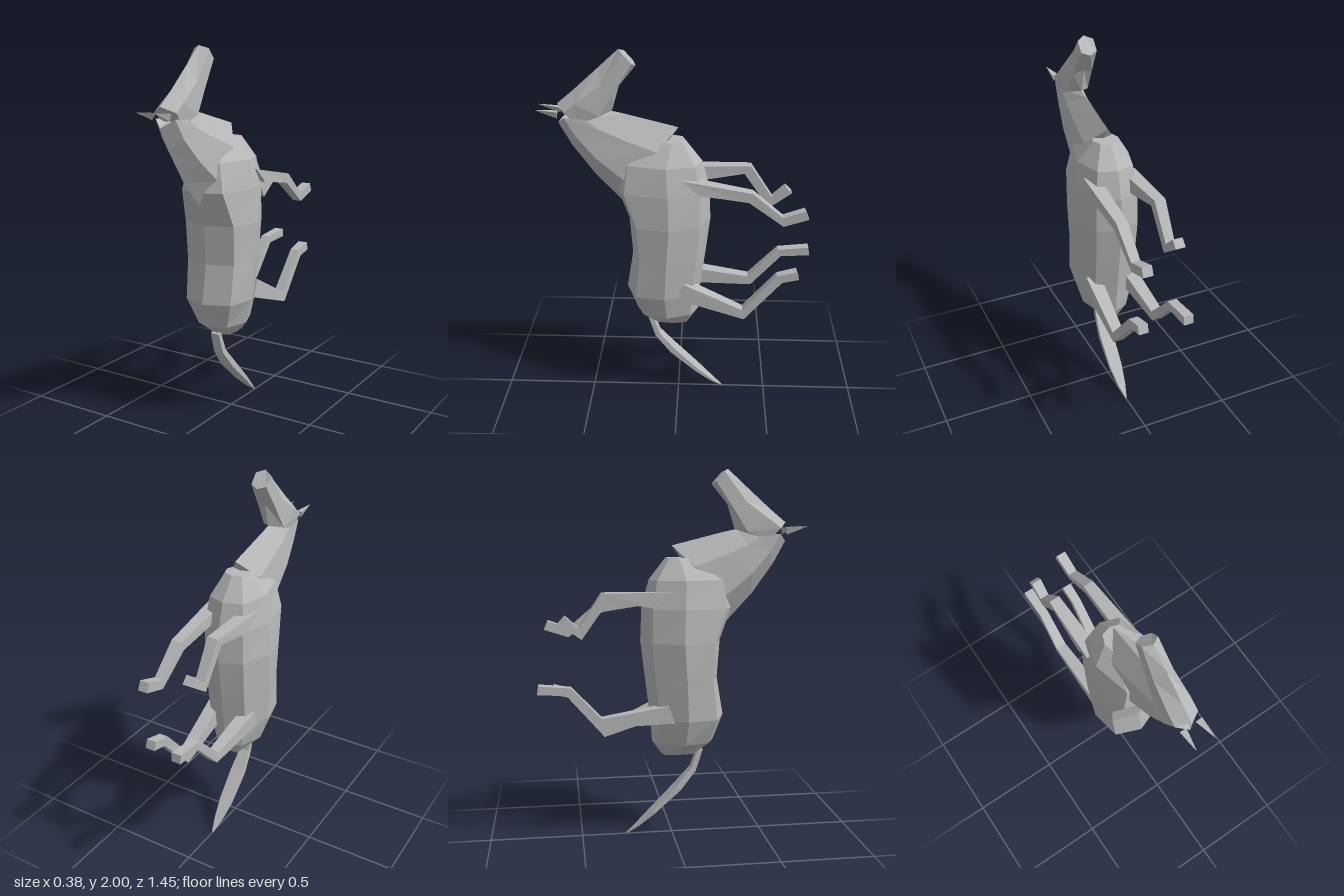
import * as THREE from 'three';

const coat = new THREE.MeshStandardMaterial({ color: 0xb8b8b8 });
coat.name = 'greyCoat';

// Flat-shaded skin over rings of equal point count, capped at both ends
function loft(name, rings) {
  const pos = [];
  const tri = (a, b, c) => pos.push(...a, ...b, ...c);
  const n = rings[0].length;
  for (let r = 0; r < rings.length - 1; r++) {
    for (let i = 0; i < n; i++) {
      const j = (i + 1) % n;
      tri(rings[r][i], rings[r][j], rings[r + 1][j]);
      tri(rings[r][i], rings[r + 1][j], rings[r + 1][i]);
    }
  }
  const last = rings[rings.length - 1];
  for (let i = 1; i < n - 1; i++) {
    tri(rings[0][0], rings[0][i + 1], rings[0][i]);
    tri(last[0], last[i], last[i + 1]);
  }
  // Turn the skin outwards if its signed volume is negative
  let volume = 0;
  const a = new THREE.Vector3(), b = new THREE.Vector3(), c = new THREE.Vector3();
  for (let i = 0; i < pos.length; i += 9) {
    volume += a.fromArray(pos, i).dot(b.fromArray(pos, i + 3).cross(c.fromArray(pos, i + 6)));
  }
  if (volume < 0) {
    for (let i = 0; i < pos.length; i += 9) {
      for (let k = 0; k < 3; k++) {
        [pos[i + 3 + k], pos[i + 6 + k]] = [pos[i + 6 + k], pos[i + 3 + k]];
      }
    }
  }
  const geo = new THREE.BufferGeometry();
  geo.setAttribute('position', new THREE.Float32BufferAttribute(pos, 3));
  geo.computeVertexNormals();
  const mesh = new THREE.Mesh(geo, coat);
  mesh.name = name;
  return mesh;
}

// Closes a half ring (first and last points lie on x = 0) by mirroring
const mirrorRing = (half) => [
  ...half,
  ...half.slice(1, -1).reverse().map(([x, y, z]) => [-x, y, z]),
];

// Box-section limb; each section holds two [z, y] edges and a half width
const limb = (name, x, sections) => loft(name, sections.map(([p, q, w]) => [
  [x - w, p[1], p[0]], [x + w, p[1], p[0]],
  [x + w, q[1], q[0]], [x - w, q[1], q[0]],
]));

export function createModel() {
  const model = new THREE.Group();
  model.name = 'horse';

  // Barrel: y, front z, shoulder x z, flank x z, belly x z, belly centre z
  const barrel = [
    [0.46, 0.13, 0.05, 0.11, 0.06, 0.03, 0.045, -0.045, -0.06],
    [0.53, 0.23, 0.09, 0.19, 0.13, 0.06, 0.08, -0.07, -0.11],
    [0.67, 0.285, 0.14, 0.23, 0.17, 0.07, 0.11, -0.075, -0.12],
    [0.88, 0.25, 0.145, 0.205, 0.183, 0.06, 0.115, -0.1, -0.147],
    [1.09, 0.265, 0.15, 0.215, 0.19, 0.045, 0.12, -0.118, -0.172],
    [1.27, 0.33, 0.125, 0.28, 0.175, 0.05, 0.115, -0.115, -0.165],
    [1.42, 0.29, 0.095, 0.26, 0.145, 0.06, 0.1, -0.09, -0.125],
    [1.535, 0.1, 0.05, 0.09, 0.07, 0.03, 0.05, -0.02, -0.035],
  ];
  model.add(loft('body', barrel.map(([y, zf, xs, zs, xm, zm, xb, zb, zc]) =>
    mirrorRing([[0, y, zf], [xs, y, zs], [xm, y, zm], [xb, y, zb], [0, y, zc]]))));

  // Neck: crest, upper side, lower side, throat
  model.add(loft('neck', [
    [[0, 1.62, 0.62], [0.058, 1.66, 0.58], [0.058, 1.655, 0.48], [0, 1.685, 0.35]],
    [[0, 1.5, 0.555], [0.065, 1.56, 0.52], [0.065, 1.6, 0.4], [0, 1.67, 0.28]],
    [[0, 1.34, 0.44], [0.08, 1.45, 0.42], [0.075, 1.54, 0.25], [0, 1.635, 0.14]],
    [[0, 1.18, 0.29], [0.092, 1.33, 0.27], [0.085, 1.49, 0.11], [0, 1.6, 0]],
  ].map(mirrorRing)));

  // Head: bridge, upper side, lower side, jaw
  model.add(loft('head', [
    [[0, 2, 0.3], [0.043, 1.985, 0.275], [0.043, 1.935, 0.23], [0, 1.92, 0.213]],
    [[0, 1.91, 0.4], [0.053, 1.83, 0.39], [0.053, 1.79, 0.325], [0, 1.815, 0.3]],
    [[0, 1.79, 0.535], [0.065, 1.735, 0.52], [0.062, 1.67, 0.4], [0, 1.685, 0.34]],
    [[0, 1.72, 0.62], [0.065, 1.69, 0.58], [0.055, 1.625, 0.515], [0, 1.63, 0.49]],
  ].map(mirrorRing)));

  // Ears
  for (const s of [-1, 1]) {
    model.add(loft(s > 0 ? 'leftEar' : 'rightEar', [
      [[s * 0.025, 1.69, 0.615], [s * 0.062, 1.69, 0.615], [s * 0.052, 1.655, 0.615]],
      [[s * 0.051, 1.7, 0.725], [s * 0.053, 1.7, 0.725], [s * 0.052, 1.697, 0.725]],
    ]));
  }

  // Legs
  const foreTop = [[-0.02, 1.36], [-0.11, 1.28], 0.04];
  const hindTop = [[-0.035, 0.755], [0, 0.66], 0.04];
  model.add(
    limb('leftForeleg', 0.105, [foreTop,
      [[-0.39, 1.29], [-0.37, 1.24], 0.03],
      [[-0.55, 1.155], [-0.555, 1.105], 0.025],
      [[-0.665, 1.195], [-0.685, 1.148], 0.027]]),
    limb('rightForeleg', -0.105, [foreTop,
      [[-0.385, 1.362], [-0.35, 1.318], 0.03],
      [[-0.505, 1.18], [-0.49, 1.12], 0.025],
      [[-0.575, 1.245], [-0.61, 1.208], 0.027]]),
    limb('leftHindLeg', 0.105, [hindTop,
      [[-0.355, 0.597], [-0.365, 0.54], 0.03],
      [[-0.535, 0.81], [-0.565, 0.77], 0.025],
      [[-0.64, 0.838], [-0.655, 0.792], 0.027]]),
    limb('rightHindLeg', -0.105, [hindTop,
      [[-0.39, 0.695], [-0.405, 0.645], 0.03],
      [[-0.55, 0.865], [-0.57, 0.825], 0.025],
      [[-0.72, 0.882], [-0.727, 0.835], 0.027]]),
  );

  // Tail
  model.add(limb('tail', 0, [
    [[0.17, 0.475], [0.145, 0.48], 0.025],
    [[0.13, 0.355], [0.105, 0.37], 0.03],
    [[0.045, 0.25], [0.02, 0.272], 0.04],
    [[-0.1, 0.12], [-0.11, 0.14], 0.037],
    [[-0.19, 0.045], [-0.195, 0.058], 0.022],
    [[-0.255, 0], [-0.255, 0.006], 0.003],
  ]));

  return model;
}
